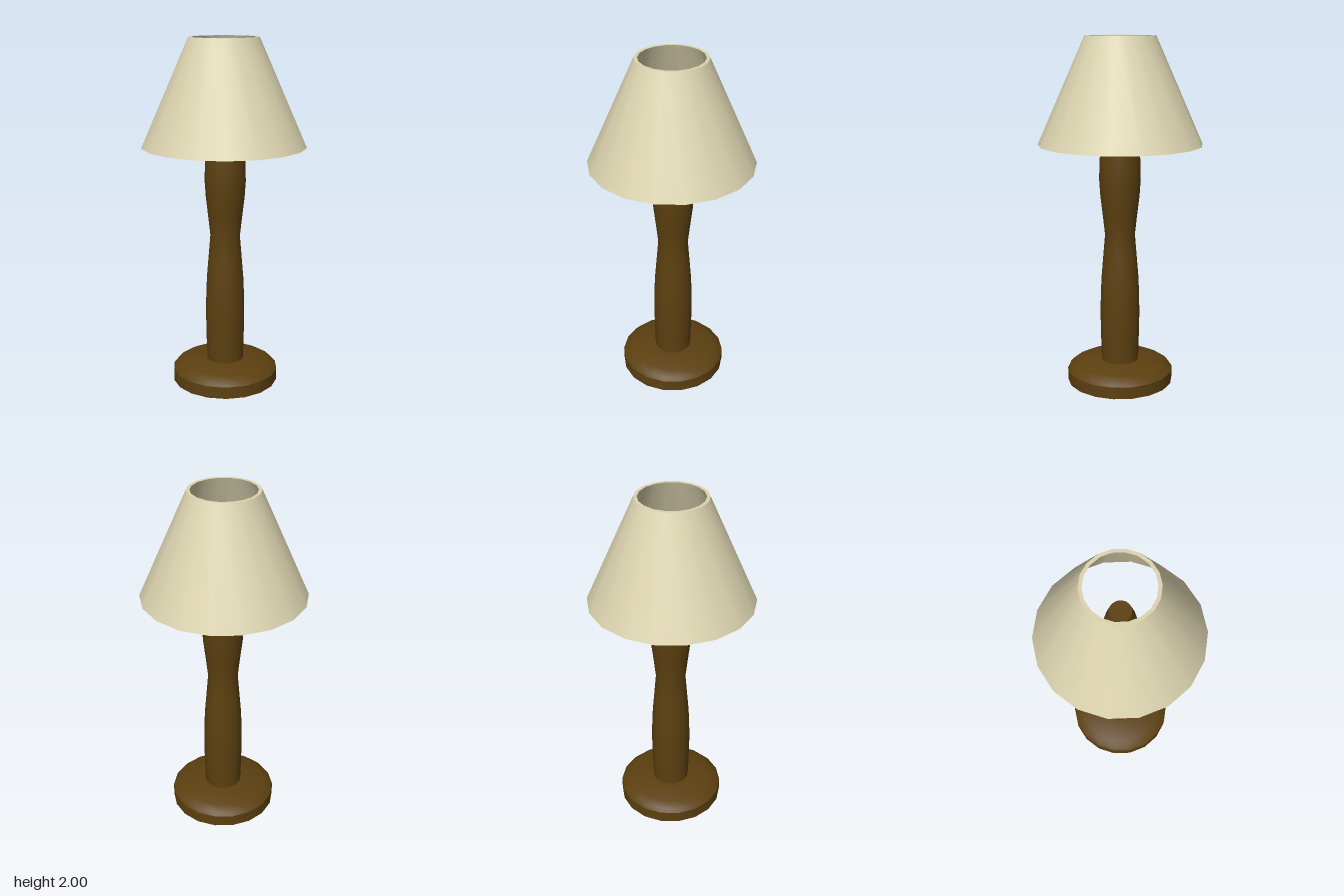
import * as THREE from 'three';
import { toCreasedNormals } from 'three/addons/utils/BufferGeometryUtils.js';

// Turned part from a [radius, height] profile, listed so the outside faces out
function turned(name, profile, sides, material, crease = 0.5) {
  const points = profile.map(([r, y]) => new THREE.Vector2(r, y));
  const geometry = toCreasedNormals(new THREE.LatheGeometry(points, sides), crease);
  const mesh = new THREE.Mesh(geometry, material);
  mesh.name = name;
  return mesh;
}

export function createModel() {
  const wood = new THREE.MeshStandardMaterial({ color: 0x5c4010 });
  wood.name = 'dark wood';
  const fabric = new THREE.MeshStandardMaterial({ color: 0xdcd4b0 });
  fabric.name = 'cream fabric';

  const lamp = new THREE.Group();
  lamp.name = 'tableLamp';

  // Foot and stem sit slightly off the shade's axis
  const stand = new THREE.Group();
  stand.name = 'stand';
  stand.position.x = 0.008;

  // Round foot with a bevelled upper edge
  stand.add(turned('foot', [
    [0, 0], [0.308, 0], [0.308, 0.07], [0.29, 0.09], [0.25, 0.112], [0.1, 0.127], [0, 0.127],
  ], 18, wood));

  // Stem with two bulges and a narrow waist, tapering inside the shade
  stand.add(turned('stem', [
    [0.107, 0.11], [0.111, 0.25], [0.114, 0.4], [0.112, 0.52], [0.107, 0.63],
    [0.096, 0.76], [0.086, 0.88], [0.098, 0.99], [0.112, 1.11], [0.118, 1.2],
    [0.116, 1.3], [0.107, 1.41], [0.092, 1.53], [0.076, 1.63], [0.058, 1.7], [0, 1.7],
  ], 18, wood));
  lamp.add(stand);

  // Open conical shade with a wall thickness
  lamp.add(turned('shade', [
    [0.465, 1.4], [0.197, 2], [0.178, 2], [0.434, 1.4], [0.465, 1.4],
  ], 18, fabric));

  return lamp;
}
